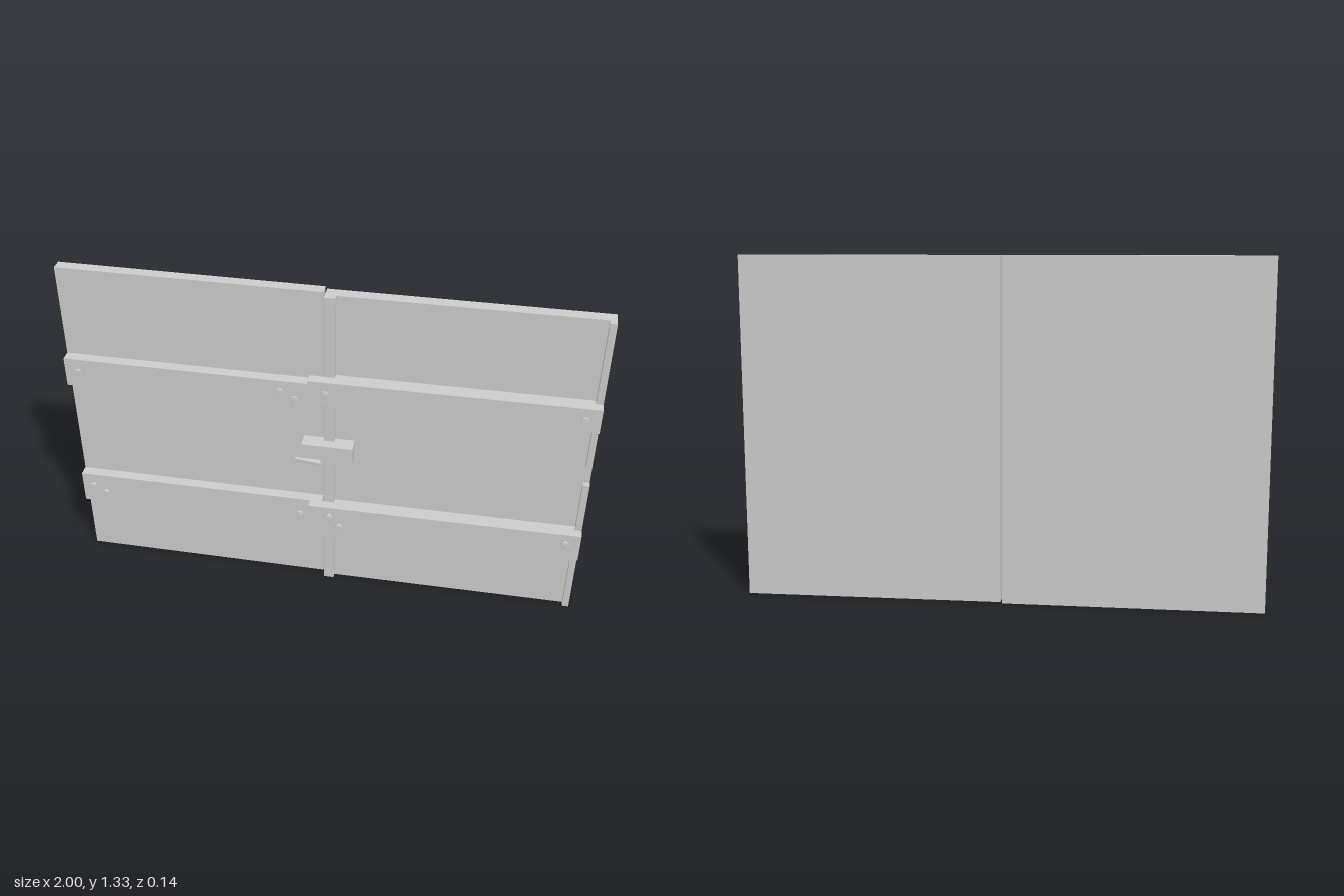
import * as THREE from 'three';

const material = new THREE.MeshStandardMaterial({ color: 0xcccccc, flatShading: true });

function add(parent, name, geometry) {
  const mesh = new THREE.Mesh(geometry, material);
  mesh.name = name;
  parent.add(mesh);
  return mesh;
}

// Box given by its limits on each axis
function box(parent, name, x0, x1, y0, y1, z0, z1) {
  const mesh = add(parent, name, new THREE.BoxGeometry(x1 - x0, y1 - y0, z1 - z0));
  mesh.position.set((x0 + x1) / 2, (y0 + y1) / 2, (z0 + z1) / 2);
  return mesh;
}

// Round headed bolt on a thin shank, pointing forward from z
function bolt(parent, x, y, z) {
  const profile = [[0, -0.01], [0.007, -0.01], [0.007, 0.014], [0.016, 0.014], [0.016, 0.021], [0, 0.022]]
    .map(([r, h]) => new THREE.Vector2(r, h));
  const mesh = add(parent, 'bolt', new THREE.LatheGeometry(profile, 10));
  mesh.rotation.x = Math.PI / 2;
  mesh.position.set(x, y, z);
}

export function createModel() {
  const model = new THREE.Group();
  model.name = 'doubleDoor';
  const H = 1.325;

  // Right-hand leaf with two wide, flush battens
  const rightDoor = new THREE.Group();
  rightDoor.name = 'rightDoor';
  model.add(rightDoor);
  box(rightDoor, 'panel', -1, -0.009, 0, H, -0.073, -0.03);
  box(rightDoor, 'upperBatten', -1, -0.009, 0.84, 0.96, -0.03, 0.012);
  box(rightDoor, 'lowerBatten', -1, -0.009, 0.27, 0.405, -0.03, 0.012);
  for (const [x, y] of [[-0.945, 0.913], [-0.165, 0.922], [-0.11, 0.893],
    [-0.952, 0.358], [-0.902, 0.33], [-0.095, 0.34]]) bolt(rightDoor, x, y, 0.012);

  // Left-hand leaf, standing very slightly ajar
  const leftDoor = new THREE.Group();
  leftDoor.name = 'leftDoor';
  leftDoor.rotation.y = 0.007;
  model.add(leftDoor);
  box(leftDoor, 'panel', 0, 1, 0, H, -0.058, -0.013);
  box(leftDoor, 'meetingStile', 0, 0.04, 0, H, -0.013, 0.007);

  // Outer edge strip, interrupted at the battens and the latch height
  for (const [y0, y1] of [[0, 0.285], [0.405, 0.625], [0.705, 0.895], [0.995, H]])
    box(leftDoor, 'edgeStrip', 0.975, 1, y0, y1, -0.013, 0.009);

  // Battens bridge the strips and overlap the other leaf
  for (const [y0, y1] of [[0.895, 0.995], [0.285, 0.405]]) {
    box(leftDoor, 'batten', -0.055, 1, y0, y1, 0.005, 0.045);
    box(leftDoor, 'battenBacking', 0.04, 1, y0, y1, -0.013, 0.005);
  }
  for (const [x, y] of [[0.012, 0.953], [0.94, 0.953], [0.027, 0.37],
    [0.067, 0.325], [0.942, 0.37]]) bolt(leftDoor, x, y, 0.046);

  // Latch: block, tapered hook below it and a thin thumb plate
  const latch = new THREE.Group();
  latch.name = 'latch';
  model.add(latch);
  box(latch, 'latchBlock', -0.08, 0.115, 0.625, 0.705, -0.013, 0.046);
  const hook = new THREE.Shape([[-0.08, 0.625], [-0.08, 0.56], [-0.04, 0.56], [0, 0.625]]
    .map(([x, y]) => new THREE.Vector2(x, y)));
  add(latch, 'latchHook', new THREE.ExtrudeGeometry(hook, { depth: 0.041, bevelEnabled: false }))
    .position.z = 0.005;
  const plate = new THREE.Shape([[-0.105, -0.045], [-0.01, -0.045], [0, -0.07], [-0.105, -0.055]]
    .map(([x, y]) => new THREE.Vector2(x, y)).reverse());
  const plateMesh = add(latch, 'thumbPlate',
    new THREE.ExtrudeGeometry(plate, { depth: 0.015, bevelEnabled: false }));
  plateMesh.rotation.x = -Math.PI / 2;
  plateMesh.position.y = 0.626;

  return model;
}
